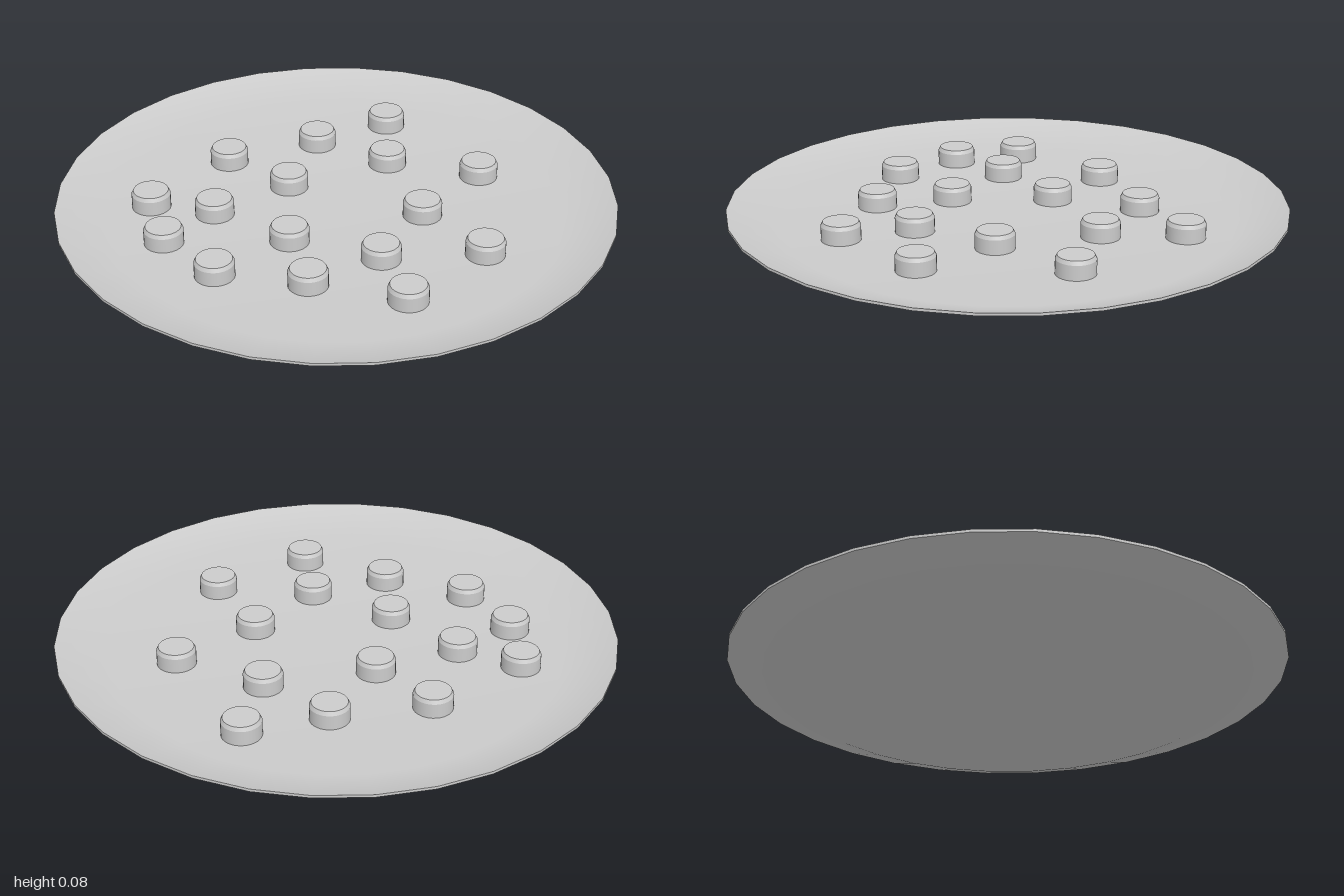
import * as THREE from 'three';

const grey = new THREE.MeshStandardMaterial({ color: 0xcccccc });
const greyDouble = new THREE.MeshStandardMaterial({ color: 0xcccccc, side: THREE.DoubleSide });

// Revolves a profile of [radius, height] pairs, smooth within the profile
function revolve(name, profile, segments, material = grey) {
  const points = profile.map(([r, y]) => new THREE.Vector2(r, y));
  const mesh = new THREE.Mesh(new THREE.LatheGeometry(points, segments), material);
  mesh.name = name;
  return mesh;
}

// Shallow round dish: sloped underside, thin rim, sunken floor
function createDish() {
  const dish = new THREE.Group();
  dish.name = 'dish';
  dish.add(
    revolve('underside', [[0, 0], [0.81, 0], [1, 0.068]], 32),
    revolve('rim', [[1, 0.068], [1, 0.078]], 32, greyDouble),
    revolve('floor', [[1, 0.078], [0.81, 0.016], [0, 0.016]], 32)
  );
  return dish;
}

// Short round peg with a small bevel around its flat top
function createPeg(x, z) {
  const peg = new THREE.Group();
  peg.name = 'peg';
  peg.add(
    revolve('pegSide', [[0.07, 0.01], [0.07, 0.07]], 32),
    revolve('pegBevel', [[0.07, 0.07], [0.063, 0.084]], 32),
    revolve('pegTop', [[0.063, 0.084], [0, 0.084]], 32)
  );
  peg.position.set(x, 0, z);
  return peg;
}

export function createModel() {
  const model = new THREE.Group();
  model.name = 'dishWithPegs';
  model.add(createDish());

  // Scattered pegs as [x, z]
  const spots = [
    [-0.23, -0.61], [0.27, -0.51], [-0.05, -0.375], [-0.35, -0.33],
    [0.265, -0.16], [0.585, -0.085], [-0.525, -0.02], [-0.235, -0.02],
    [0.32, 0.16], [-0.325, 0.29], [0, 0.265], [0.54, 0.305],
    [-0.54, 0.39], [0.22, 0.435], [-0.34, 0.54], [-0.065, 0.585]
  ];
  for (const [x, z] of spots) model.add(createPeg(x, z));
  return model;
}
